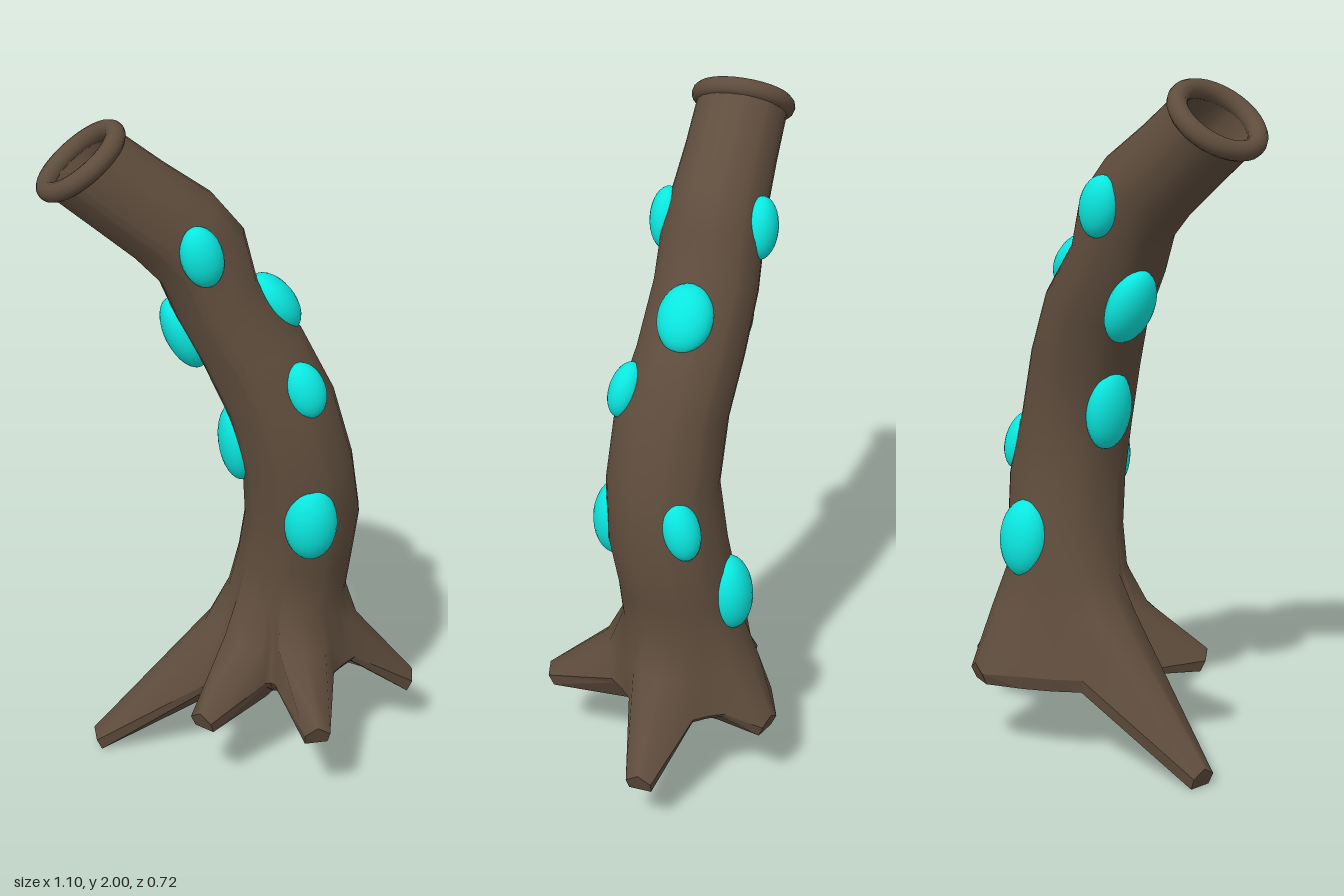
import * as THREE from 'three';

const bark = new THREE.MeshStandardMaterial({ color: 0x5f4d3d });
bark.name = 'brown bark';
const glow = new THREE.MeshStandardMaterial({ color: 0x0ae8e0 });
glow.name = 'turquoise';

// Joins closed rows of points, listed from top to bottom, into a skin.
function loft(rows, { flat = false, inward = false } = {}) {
  const n = rows[0].length;
  const index = [];
  for (let i = 0; i < rows.length - 1; i++) {
    for (let j = 0; j < n; j++) {
      const k = (j + 1) % n;
      const a = i * n + j, b = i * n + k, c = a + n, d = b + n;
      if (inward) index.push(a, c, b, b, c, d);
      else index.push(a, b, c, b, d, c);
    }
  }
  let geo = new THREE.BufferGeometry().setFromPoints(rows.flat());
  geo.setIndex(index);
  if (flat) geo = geo.toNonIndexed();
  geo.computeVertexNormals();
  return geo;
}

// Trunk rings from mouth to neck: x, y, z, radius, radius along z, tilt
const RINGS = [
  [-0.43, 1.896, -0.066, 0.13, 0.13, 0.66],
  [-0.30, 1.79, -0.066, 0.133, 0.132, 0.68],
  [-0.178, 1.695, -0.066, 0.142, 0.138, 0.62],
  [-0.1, 1.605, -0.066, 0.14, 0.146, 0.52],
  [-0.06, 1.48, -0.06, 0.128, 0.15, 0.45],
  [0.042, 1.325, -0.045, 0.15, 0.153, 0.33],
  [0.12, 1.16, -0.012, 0.158, 0.162, 0.2],
  [0.17, 0.97, 0, 0.162, 0.163, 0.12],
  [0.19, 0.8, -0.02, 0.17, 0.172, 0.03],
  [0.175, 0.65, -0.045, 0.17, 0.172, -0.03],
  [0.155, 0.53, -0.06, 0.177, 0.18, 0],
];

// Roots around the base: angle in degrees, reach, tip top, tip bottom,
// shoulder radius, radius and height where the underside levels out,
// then radius, height and rim of the hollow that follows
const ROOTS = [
  [4, 0.395, 0.2, 0.14, 0.215, 0.17, 0.28, 0.21, 0.3, 0.015],
  [89, 0.42, 0.27, 0.21, 0.24, 0.15, 0.215, 0.22, 0.29, 0.015],
  [139, 0.42, 0.27, 0.21, 0.24, 0.15, 0.215, 0.28, 0.22, 0.02],
  [184, 0.595, 0.06, 0, 0.25, 0.32, 0.2, 0.25, 0.215, 0.04],
  [288, 0.305, 0.27, 0.21, 0.24, 0.15, 0.215, 0.22, 0.28, 0.015],
];
const BASE = new THREE.Vector3(0.155, 0, -0.06);

function around(angle, radius, y, sideways = 0) {
  const c = Math.cos(angle), s = Math.sin(angle);
  return new THREE.Vector3(
    BASE.x + c * radius - s * sideways, y, BASE.z + s * radius + c * sideways);
}

// Columns of the skirt: three per root and three per hollow
function skirtColumns() {
  const cols = [];
  const spread = THREE.MathUtils.degToRad(18);
  ROOTS.forEach(([deg, reach, top, bottom, shoulder, inR, inY, hollowR, hollowY, rim], i) => {
    const a = THREE.MathUtils.degToRad(deg);
    const next = THREE.MathUtils.degToRad(ROOTS[(i + 1) % 5][0] + (i === 4 ? 360 : 0));
    for (const s of [-1, 0, 1]) {
      cols.push({
        angle: a + s * spread,
        shoulder: s ? shoulder - 0.015 : shoulder,
        upper: around(a, reach - (s ? 0.005 : 0), s ? top - 0.025 : top, s * 0.038),
        lower: around(a, reach - 0.02, bottom, s * 0.034),
        inner: around(a, inR, inY, s * 0.04),
      });
    }
    for (const t of [0.2, 0.5, 0.8]) {
      const h = a + spread + (next - a - 2 * spread) * t;
      const r = hollowR + (t === 0.5 ? 0 : 0.01);
      cols.push({
        angle: h,
        shoulder: 0.2,
        upper: around(h, r, hollowY + rim),
        lower: around(h, r - 0.01, hollowY),
        inner: around(h, 0.14, 0.23),
      });
    }
  });
  return cols;
}

function ring([x, y, z, r, rz, tilt], angles) {
  return angles.map((a) => new THREE.Vector3(
    x + Math.cos(a) * r * Math.cos(tilt),
    y + Math.cos(a) * r * Math.sin(tilt),
    z + Math.sin(a) * rz));
}

// Growths: centre, half sizes, tilt about x and z
const GROWTHS = [
  [[0.182, 0.83, 0.135], [0.078, 0.115, 0.068], 0, 0],
  [[0.168, 1.238, 0.108], [0.058, 0.083, 0.048], -0.25, 0.3],
  [[-0.12, 1.645, 0.07], [0.06, 0.09, 0.05], 0, 0.25],
  [[-0.12, 1.645, -0.2], [0.062, 0.09, 0.05], 0, 0.25],
  [[0.108, 1.45, -0.047], [0.06, 0.1, 0.08], 0, 0.65],
  [[0.303, 0.89, -0.09], [0.055, 0.092, 0.056], 0.3, 0.15],
  [[0.185, 0.635, -0.205], [0.08, 0.115, 0.065], 0.1, 0],
  [[-0.143, 1.355, -0.1], [0.058, 0.115, 0.078], 0, 0.42],
  [[0, 1.025, -0.04], [0.056, 0.12, 0.075], 0, 0.12],
];

export function createModel() {
  const group = new THREE.Group();
  const add = (name, geo, material) => {
    const mesh = new THREE.Mesh(geo, material);
    mesh.name = name;
    group.add(mesh);
    return mesh;
  };

  // Trunk flowing into the flared roots
  const cols = skirtColumns();
  const angles = cols.map((c) => c.angle);
  const rows = RINGS.map((r) => ring(r, angles));
  rows.push(cols.map((c) => around(c.angle, c.shoulder, 0.415)));
  rows.push(cols.map((c) => c.upper));
  add('trunk and roots', loft(rows), bark);

  // Cut root ends and underside
  const middle = new THREE.Vector3(0.155, 0.22, -0.06);
  add('root underside', loft([
    cols.map((c) => c.upper),
    cols.map((c) => c.lower),
    cols.map((c) => c.inner),
    cols.map(() => middle),
  ], { flat: true }), bark);

  // Hollow mouth
  const bore = RINGS.slice(0, 3).map(([x, y, z, , , t]) => ring([x, y, z, 0.1, 0.1, t], angles));
  bore.push(ring([-0.178, 1.695, -0.066, 0, 0, 0.62], angles));
  add('mouth bore', loft(bore, { inward: true }), bark);

  // Rolled lip
  const [x, y, z, , , tilt] = RINGS[0];
  const lip = add('mouth lip',
    new THREE.TorusGeometry(0.122, 0.028, 12, 32).rotateX(Math.PI / 2), bark);
  lip.position.set(x, y, z);
  lip.rotation.z = tilt;

  // Rounded growths on the bark
  for (const [centre, size, tiltX, tiltZ] of GROWTHS) {
    const growth = add('growth', new THREE.SphereGeometry(1, 24, 16), glow);
    growth.position.set(...centre);
    growth.scale.set(...size);
    growth.rotation.set(tiltX, 0, tiltZ);
  }
  return group;
}
